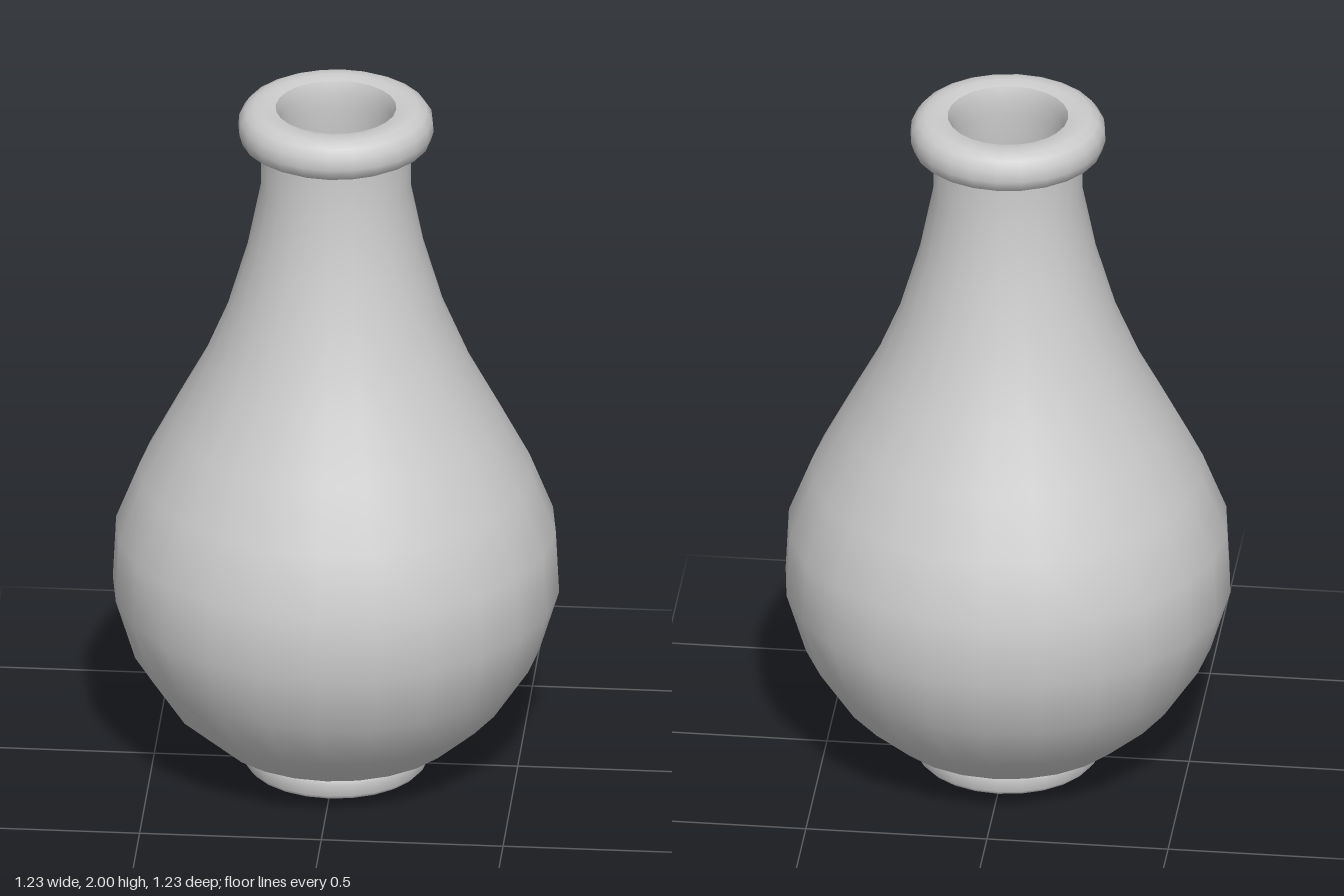
import * as THREE from 'three';

const SIDES = 24;

export function createModel() {
  const group = new THREE.Group();
  const material = new THREE.MeshStandardMaterial({ color: 0xcccccc });

  // Turns a profile of [radius, height] points; points running upward face outward
  const turn = (name, points) => {
    const profile = points.map(([r, y]) => new THREE.Vector2(r, y));
    const mesh = new THREE.Mesh(new THREE.LatheGeometry(profile, SIDES), material);
    mesh.name = name;
    group.add(mesh);
  };

  // Foot: flat base, softened rim
  turn('footBase', [[0, 0], [0.243, 0]]);
  turn('footRim', [[0.243, 0], [0.253, 0.012], [0.255, 0.045], [0.25, 0.057]]);

  // Pear-shaped body rising into the neck
  const body = [
    [0.25, 0.057], [0.34, 0.10], [0.46, 0.207], [0.56, 0.36], [0.614, 0.537],
    [0.605, 0.72], [0.54, 0.886], [0.455, 1.05], [0.37, 1.21], [0.297, 1.385],
    [0.243, 1.57], [0.206, 1.756], [0.206, 1.90],
  ];
  turn('body', body);

  // Rounded lip around the mouth
  turn('lip', [
    [0.2, 1.885], [0.235, 1.886], [0.26, 1.9], [0.269, 1.93],
    [0.266, 1.962], [0.25, 1.985], [0.226, 1.998], [0.195, 2.0], [0.166, 1.993],
  ]);

  // Hollow inside, from the mouth down to the floor
  const inside = body.slice(1).reverse().map(([r, y]) => [r - 0.052, y + 0.012]);
  turn('innerWall', [[0.166, 1.993], [0.154, 1.96], ...inside, [0.2, 0.08], [0, 0.075]]);

  return group;
}
